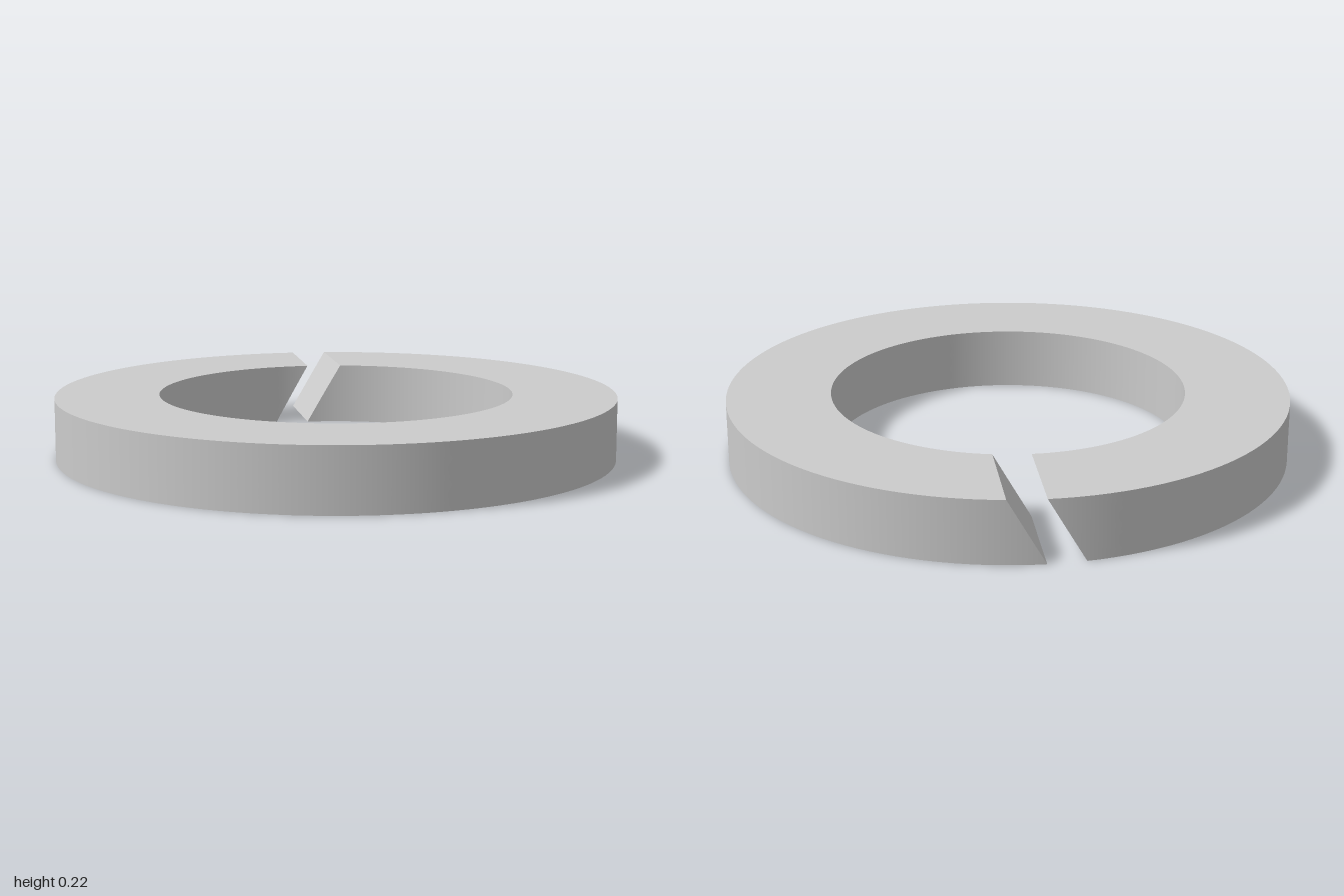
import * as THREE from 'three';
import { ParametricGeometry } from 'three/addons/geometries/ParametricGeometry.js';
import { mergeGeometries } from 'three/addons/utils/BufferGeometryUtils.js';

const INNER = 0.631, OUTER = 1, HEIGHT = 0.222;
const GAP = 0.128;   // width of the split along x
const SLANT = 0.128; // how far the split leans over the full height
const AROUND = 128, LEVELS = 8;

// Point in the ring: s runs round from one cut end to the other,
// k from inner to outer wall, h from bottom to top.
function ringPoint(s, k, h, target) {
  const r = INNER + (OUTER - INNER) * k;
  const lean = SLANT * (h - 1);
  const start = Math.asin((GAP + lean) / r);
  const end = 2 * Math.PI + Math.asin(lean / r);
  const a = start + (end - start) * s;
  target.set(r * Math.sin(a), HEIGHT * h, -r * Math.cos(a));
}

export function createModel() {
  const group = new THREE.Group();
  group.name = 'splitLockWasher';

  const face = (map, nu, nv) =>
    new ParametricGeometry((u, v, t) => ringPoint(...map(u, v), t), nu, nv);

  const geometry = mergeGeometries([
    face((u, v) => [v, 1, u], LEVELS, AROUND), // outer wall
    face((u, v) => [u, 0, v], AROUND, LEVELS), // inner wall
    face((u, v) => [u, v, 1], AROUND, 1),      // top
    face((u, v) => [v, u, 0], 1, AROUND),      // bottom
    face((u, v) => [0, v, u], LEVELS, 1),      // cut end on the left
    face((u, v) => [1, u, v], 1, LEVELS),      // cut end on the right
  ]);

  const ring = new THREE.Mesh(geometry, new THREE.MeshStandardMaterial({ color: 0xcccccc }));
  ring.name = 'splitRing';
  group.add(ring);
  return group;
}
